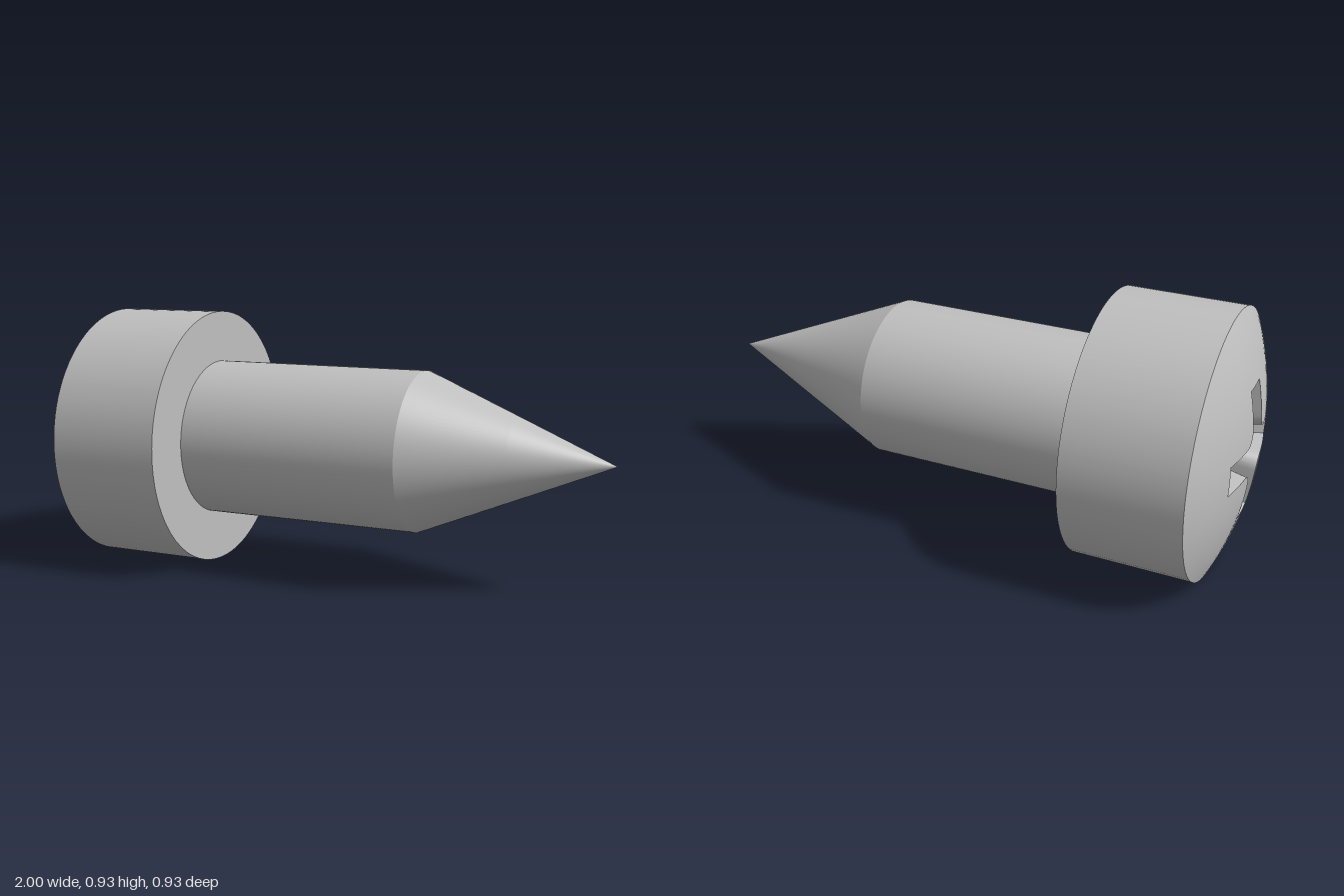
import * as THREE from 'three';
import { toCreasedNormals } from 'three/addons/utils/BufferGeometryUtils.js';

const HEAD_R = 0.466, APEX = -1.003, RIM_X = -0.9, HEAD_BACK = -0.487;

// Dome height along the axis at a given radius (a spherical cap)
const cap = RIM_X - APEX;
const sphereR = (HEAD_R ** 2 + cap ** 2) / (2 * cap);
const domeX = (r) => APEX + sphereR - Math.sqrt(sphereR ** 2 - r ** 2);

// Cross-shaped outline of the driver recess, with rounded inner corners
function crossOutline(len = 0.235, w = 0.053, fillet = 0.05) {
  const quarter = [];
  const line = (a, b, n) => {
    for (let i = 0; i < n; i++) {
      quarter.push([a[0] + (b[0] - a[0]) * i / n, a[1] + (b[1] - a[1]) * i / n]);
    }
  };
  const c = w + fillet;
  line([len, 0], [len, w], 4);
  line([len, w], [c, w], 5);
  for (let i = 0; i < 8; i++) {
    const t = -Math.PI / 2 - (i / 8) * Math.PI / 2;
    quarter.push([c + fillet * Math.cos(t), c + fillet * Math.sin(t)]);
  }
  line([w, c], [w, len], 5);
  line([w, len], [0, len], 4);
  const points = [];
  for (let k = 0; k < 4; k++) {
    const co = Math.round(Math.cos(k * Math.PI / 2)), si = Math.round(Math.sin(k * Math.PI / 2));
    quarter.forEach(([u, v]) => points.push([u * co - v * si, u * si + v * co]));
  }
  return points;
}

// Skin a list of closed rings; the first ring may be collapsed to a point
function loft(rings) {
  const n = rings[0].length, pos = [];
  for (let i = 0; i < rings.length - 1; i++) {
    for (let j = 0; j < n; j++) {
      const k = (j + 1) % n;
      const a = rings[i][j], b = rings[i][k], c = rings[i + 1][j], d = rings[i + 1][k];
      if (i > 0) pos.push(...a, ...b, ...c);
      pos.push(...b, ...d, ...c);
    }
  }
  const geo = new THREE.BufferGeometry();
  geo.setAttribute('position', new THREE.Float32BufferAttribute(pos, 3));
  return toCreasedNormals(geo, 0.3);
}

function headGeometry() {
  const outline = crossOutline();
  const floorX = -0.8, floorScale = 0.55;
  const circle = (x, r) => outline.map(([u, v]) => {
    const l = Math.hypot(u, v);
    return [x, u / l * r, v / l * r];
  });
  // Recess floor
  const rings = [
    outline.map(() => [floorX, 0, 0]),
    outline.map(([u, v]) => [floorX, u * floorScale, v * floorScale]),
  ];
  // Domed face, from the recess edge out to the rim
  const steps = 8;
  for (let s = 0; s <= steps; s++) {
    rings.push(outline.map(([u, v]) => {
      const l = Math.hypot(u, v), r = l + (HEAD_R - l) * s / steps;
      return [domeX(r), u / l * r, v / l * r];
    }));
  }
  // Straight side and flat underside
  rings.push(circle(HEAD_BACK, HEAD_R), circle(HEAD_BACK, 0.26));
  return loft(rings);
}

// Round part turned about the x axis from [radius, x] points
function turned(profile) {
  const geo = new THREE.LatheGeometry(profile.map(([r, x]) => new THREE.Vector2(r, x)), 96);
  return geo.rotateZ(-Math.PI / 2);
}

export function createModel() {
  const steel = new THREE.MeshStandardMaterial({ color: 0xbfbfbf });
  steel.name = 'steel grey';
  const screw = new THREE.Group();
  screw.name = 'screw';
  const add = (name, geo) => {
    const mesh = new THREE.Mesh(geo, steel);
    mesh.name = name;
    screw.add(mesh);
  };

  add('head', headGeometry());
  add('shank', turned([[0.283, -0.5], [0.283, 0.325]]));
  add('point', turned([[0.283, 0.325], [0.142, 0.662], [0, 1]]));

  screw.position.y = HEAD_R;
  const model = new THREE.Group();
  model.name = 'pointedScrew';
  model.add(screw);
  return model;
}
